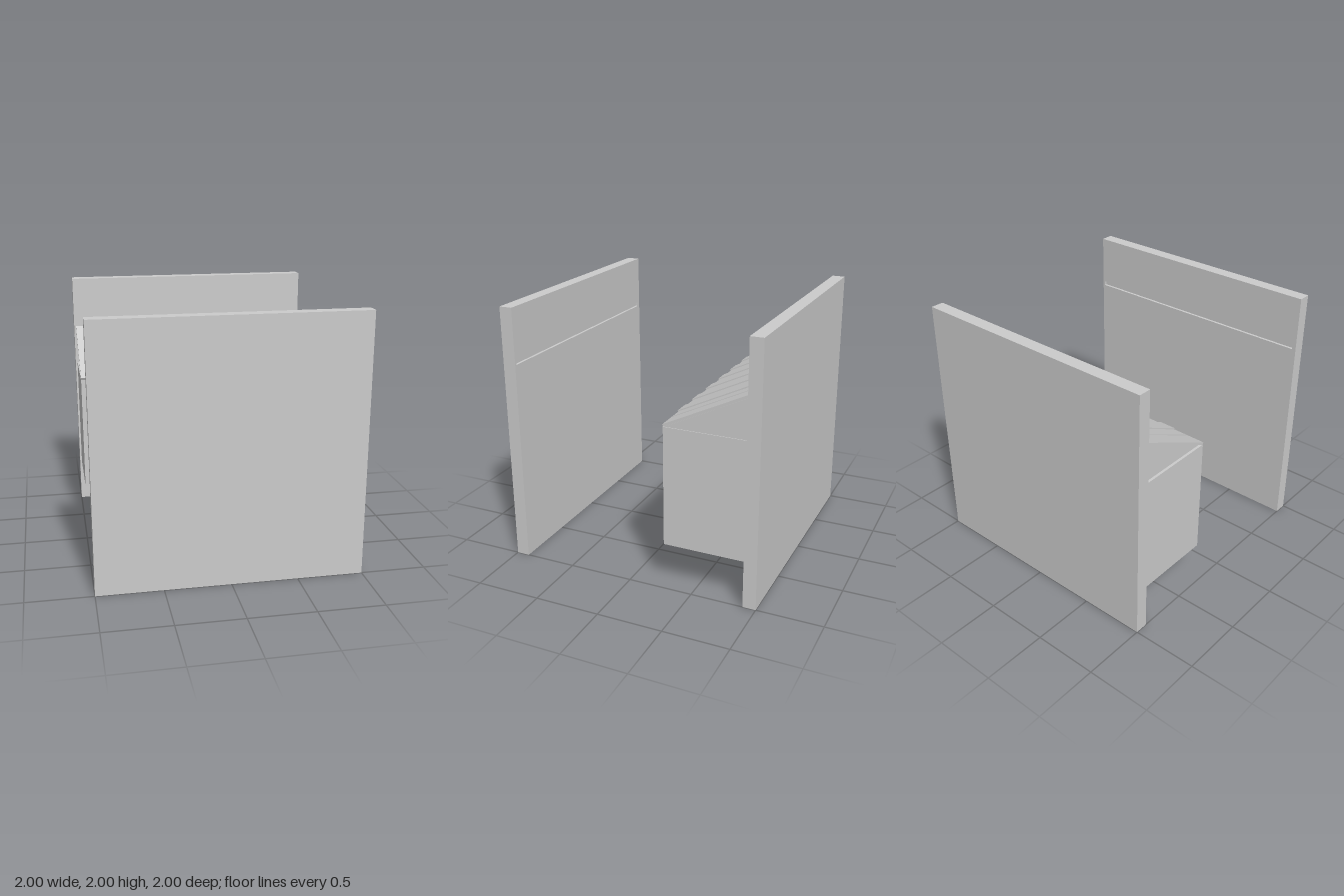
import * as THREE from 'three';

const material = new THREE.MeshStandardMaterial({ color: 0xcccccc, flatShading: true });

function add(parent, name, geometry) {
  const mesh = new THREE.Mesh(geometry, material);
  mesh.name = name;
  parent.add(mesh);
  return mesh;
}

// Box given by its limits on each axis
function block(parent, name, [x0, x1], [y0, y1], [z0, z1]) {
  const mesh = add(parent, name, new THREE.BoxGeometry(x1 - x0, y1 - y0, z1 - z0));
  mesh.position.set((x0 + x1) / 2, (y0 + y1) / 2, (z0 + z1) / 2);
  return mesh;
}

function trace(path, [x0, x1], [y0, y1]) {
  path.moveTo(x0, y0);
  path.lineTo(x1, y0);
  path.lineTo(x1, y1);
  path.lineTo(x0, y1);
  path.closePath();
  return path;
}

// Upright plate with rectangular openings
function plate(parent, name, xs, ys, [z0, z1], openings) {
  const shape = trace(new THREE.Shape(), xs, ys);
  for (const [ox, oy] of openings) shape.holes.push(trace(new THREE.Path(), ox, oy));
  const geometry = new THREE.ExtrudeGeometry(shape, { depth: z1 - z0, bevelEnabled: false });
  geometry.translate(0, 0, z0);
  return add(parent, name, geometry);
}

const LEFT = 0.97, RIGHT = -0.985;

// Wall with a shallow slot on its inner face that takes the upper roof edge
function makeWall(name) {
  const wall = new THREE.Group();
  wall.name = name;
  block(wall, 'wallSlab', [-1, 1], [0, 2], [-1, -0.92]);
  plate(wall, 'slottedWallFace', [-1, 1], [0, 2], [-0.92, -0.9],
    [[[RIGHT, LEFT], [1.57, 1.605]]]);
  return wall;
}

// Bay body with a recessed row of four windows
function makeBay() {
  const bay = new THREE.Group();
  bay.name = 'bay';
  const ys = [0.35, 1.27];
  const opening = [[-0.935, 0.92], [0.407, 1.2]];
  block(bay, 'bayBody', [RIGHT, LEFT], ys, [-0.9, -0.31]);
  plate(bay, 'windowSurround', [RIGHT, LEFT], ys, [-0.31, -0.27], [opening]);

  const panes = [];
  const pitch = (opening[0][1] - opening[0][0]) / 4;
  for (let i = 0; i < 4; i++) {
    const x = opening[0][0] + i * pitch;
    panes.push([[x + 0.02, x + pitch - 0.02], [0.45, 1.18]]);
  }
  plate(bay, 'windowFrames', ...opening, [-0.31, -0.285], panes);

  // Closed gables beneath the roof, set in a little at the right end
  const triangle = new THREE.Shape();
  triangle.moveTo(0.28, 1.27);
  triangle.lineTo(0.9, 1.27);
  triangle.lineTo(0.9, 1.573);
  triangle.closePath();
  const gable = new THREE.ExtrudeGeometry(triangle, { depth: LEFT - RIGHT - 0.025, bevelEnabled: false });
  gable.rotateY(Math.PI / 2);
  gable.translate(RIGHT + 0.02, 0, 0);
  add(bay, 'gables', gable);
  return bay;
}

// Sloping ribbed roof, built flat from its eave and then tilted
function makeRoof() {
  const roof = new THREE.Group();
  roof.name = 'roof';
  const length = 0.695;
  block(roof, 'roofDeck', [RIGHT, LEFT], [0, 0.02], [-length, 0]);
  for (let i = 0; i < 7; i++) {
    const x = -0.79 + i * 0.26;
    block(roof, 'troughPanel', [x - 0.055, x + 0.055], [0.02, 0.024], [-length + 0.015, -0.015]);
    if (i < 6) block(roof, 'raisedRib', [x + 0.067, x + 0.193], [0.02, 0.03], [-length, 0]);
  }
  roof.position.set(0, 1.27, -0.275);
  roof.rotation.x = Math.atan2(0.305, 0.625);
  return roof;
}

export function createModel() {
  const model = new THREE.Group();
  model.name = 'wallBay';
  const frontWall = makeWall('frontWall');
  frontWall.rotation.y = Math.PI;
  model.add(makeWall('backWall'), frontWall, makeBay(), makeRoof());
  return model;
}
